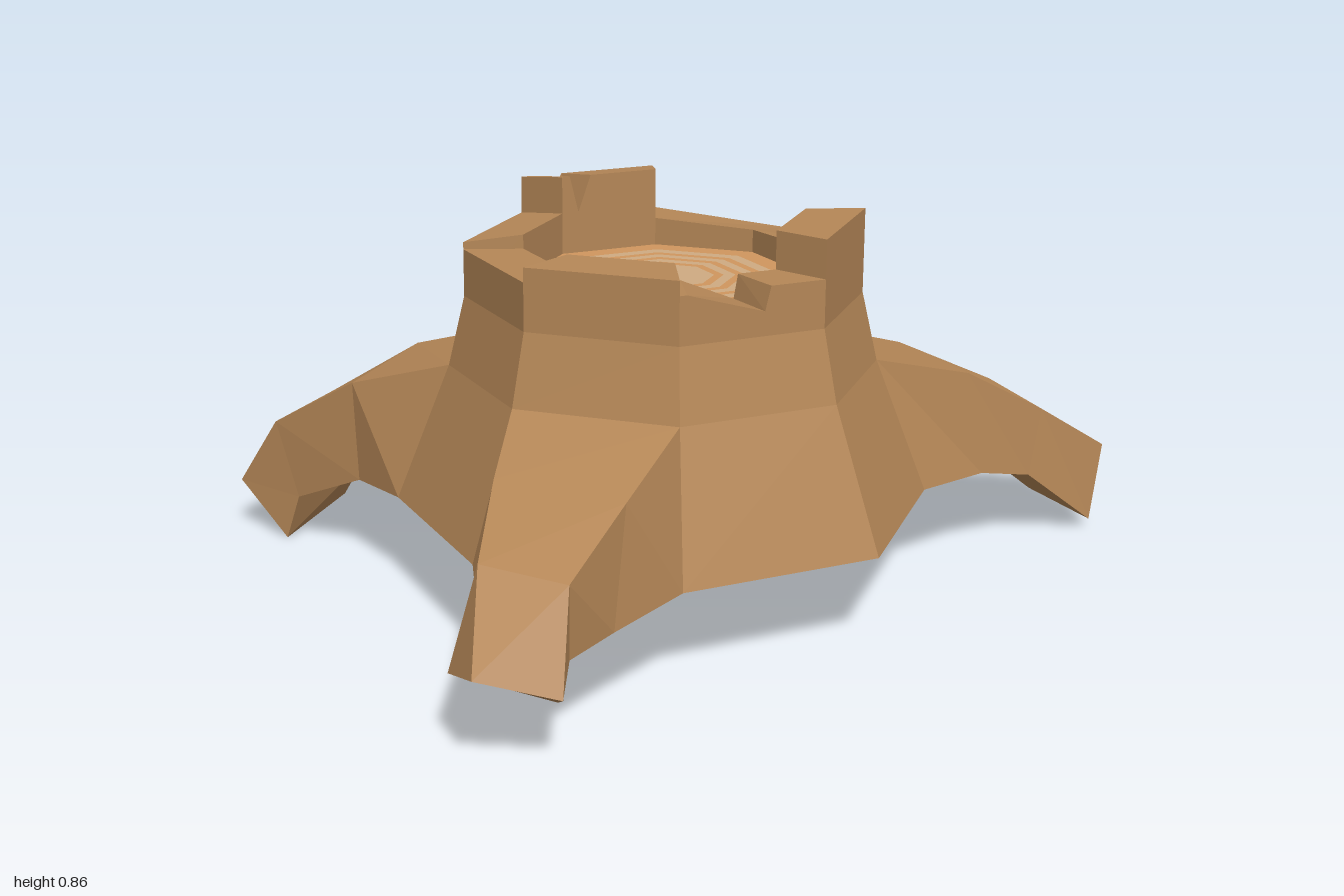
import * as THREE from 'three';

const CX = 0.215, CZ = 0.055, FLOOR = 0.69, INNER = 0.295, OUTER = 0.42;

// corner k of the eight-sided trunk (fractions lie along the straight side)
function corner(k, r, y) {
  const i = Math.floor(k), t = k - i;
  const at = (n) => new THREE.Vector3(CX + r * Math.cos(n * Math.PI / 4), y, CZ + r * Math.sin(n * Math.PI / 4));
  return at(i).lerp(at(i + 1), t);
}

function facets(name, quads, material) {
  const pos = [];
  for (const [a, b, c, d] of quads)
    for (const p of [a, b, c, a, c, d]) pos.push(p.x, p.y, p.z);
  const g = new THREE.BufferGeometry();
  g.setAttribute('position', new THREE.Float32BufferAttribute(pos, 3));
  g.computeVertexNormals();
  const m = new THREE.Mesh(g, material);
  m.name = name;
  return m;
}

// each root grows from one trunk side; sections list top A, top B, bottom B, bottom A
const ROOTS = [
  { name: 'frontRoot', side: 1, sections: [
    [[0.6, 0.42, 0.6], [0.345, 0.43, 0.69], [0.355, 0.2, 0.75], [0.625, 0.19, 0.66]],
    [[0.645, 0.33, 0.8], [0.48, 0.345, 0.865], [0.455, 0.18, 0.87], [0.635, 0.18, 0.79]],
    [[0.7, 0.15, 0.875], [0.595, 0.195, 0.995], [0.465, 0.15, 0.93], [0.6, 0.085, 0.785]]] },
  { name: 'sideRoot', side: 3, sections: [
    [[-0.39, 0.41, 0.405], [-0.475, 0.43, 0.13], [-0.47, 0.19, 0.125], [-0.37, 0.19, 0.41]],
    [[-0.62, 0.28, 0.44], [-0.685, 0.29, 0.215], [-0.6, 0.13, 0.2], [-0.56, 0.11, 0.43]],
    [[-0.73, 0.12, 0.46], [-0.785, 0.14, 0.275], [-0.665, 0.035, 0.205], [-0.595, 0.005, 0.44]]] },
  { name: 'backRoot', side: 6, sections: [
    [[0.345, 0.43, -0.63], [0.605, 0.43, -0.52], [0.64, 0.2, -0.54], [0.35, 0.2, -0.65]],
    [[0.46, 0.32, -0.84], [0.665, 0.31, -0.74], [0.67, 0.165, -0.69], [0.455, 0.165, -0.79]],
    [[0.545, 0.195, -1], [0.725, 0.195, -0.92], [0.73, 0.025, -0.87], [0.51, 0.025, -0.965]]] },
];

// broken rim: per side, points of [fraction along side, outer height, inner height]
const RIM = [
  [[0, 0.75, 0.75], [0.38, 0.75, 0.75], [0.42, 0.7, 0.7], [0.95, 0.75, 0.75], [1, 0.75, 0.75]],
  [[0, 0.78, 0.785], [1, 0.78, 0.785]],
  [[0, 0.75, 0.75], [1, 0.75, 0.75]],
  [[0, 0.765, 0.78], [1, 0.765, 0.78]],
  [[0, 0.845, 0.86], [0.08, 0.845, 0.86], [0.17, 0.77, 0.78], [0.3, 0.845, 0.86], [1, 0.845, 0.86]],
  [[0, 0.75, 0.75], [1, 0.725, 0.74]],
  [[0, 0.725, 0.74], [1, 0.75, 0.75]],
  [[0, 0.83, 0.83], [1, 0.83, 0.83]],
];

export function createModel() {
  const group = new THREE.Group();
  const bark = new THREE.MeshStandardMaterial({ color: 0xb58757, flatShading: true, side: THREE.DoubleSide });
  const darkRing = new THREE.MeshStandardMaterial({ color: 0xd0965e, flatShading: true });
  const lightRing = new THREE.MeshStandardMaterial({ color: 0xcfab82, flatShading: true });

  // trunk walls, open where a root leaves the flared lower band
  const levels = [[0.57, 0.205], [0.455, 0.5], [OUTER, 0.65]];
  const walls = [];
  for (let k = 0; k < 8; k++) {
    for (let j = 0; j < 2; j++) {
      if (j === 0 && ROOTS.some((r) => r.side === k)) continue;
      const [r0, y0] = levels[j], [r1, y1] = levels[j + 1];
      walls.push([corner(k, r1, y1), corner(k + 1, r1, y1), corner(k + 1, r0, y0), corner(k, r0, y0)]);
    }
  }
  group.add(facets('trunk', walls, bark));

  // flat underside
  const base = new THREE.Mesh(new THREE.CircleGeometry(0.57, 8), bark);
  base.name = 'underside';
  base.rotation.x = Math.PI / 2;
  base.position.set(CX, 0.205, CZ);
  group.add(base);

  // roots: skin between sections, closed at the tip
  for (const { name, side, sections } of ROOTS) {
    const rings = [
      [corner(side, 0.455, 0.5), corner(side + 1, 0.455, 0.5), corner(side + 1, 0.57, 0.205), corner(side, 0.57, 0.205)],
      ...sections.map((s) => s.map((p) => new THREE.Vector3(...p))),
    ];
    const quads = [rings[rings.length - 1]];
    for (let s = 0; s + 1 < rings.length; s++)
      for (let i = 0; i < 4; i++) {
        const n = (i + 1) % 4;
        quads.push([rings[s][i], rings[s][n], rings[s + 1][n], rings[s + 1][i]]);
      }
    group.add(facets(name, quads, bark));
  }

  // jagged bark rim around the cut
  RIM.forEach((points, k) => {
    const cols = points.map(([t, yo, yi]) => ({
      o: corner(k + t, OUTER, yo), i: corner(k + t, INNER, yi),
      ob: corner(k + t, OUTER, 0.65), ib: corner(k + t, INNER, 0.65),
    }));
    const quads = [];
    for (let c = 0; c + 1 < cols.length; c++) {
      const a = cols[c], b = cols[c + 1];
      quads.push([a.o, b.o, b.ob, a.ob], [b.o, a.o, a.i, b.i], [b.i, a.i, a.ib, b.ib]);
    }
    const f = cols[0], l = cols[cols.length - 1];
    quads.push([f.i, f.o, f.ob, f.ib], [l.o, l.i, l.ib, l.ob]);
    group.add(facets('rimSegment' + (k + 1), quads, bark));
  });

  // growth rings on the cut face
  const radii = [INNER, 0.245, 0.215, 0.195, 0.17, 0.15, 0.125, 0.105, 0];
  for (let i = 0; i + 1 < radii.length; i++) {
    const ring = new THREE.Mesh(
      radii[i + 1] > 0 ? new THREE.RingGeometry(radii[i + 1], radii[i], 8) : new THREE.CircleGeometry(radii[i], 8),
      i % 2 ? lightRing : darkRing);
    ring.name = 'growthRing' + (i + 1);
    ring.rotation.x = -Math.PI / 2;
    ring.position.set(CX, FLOOR, CZ);
    group.add(ring);
  }
  return group;
}
